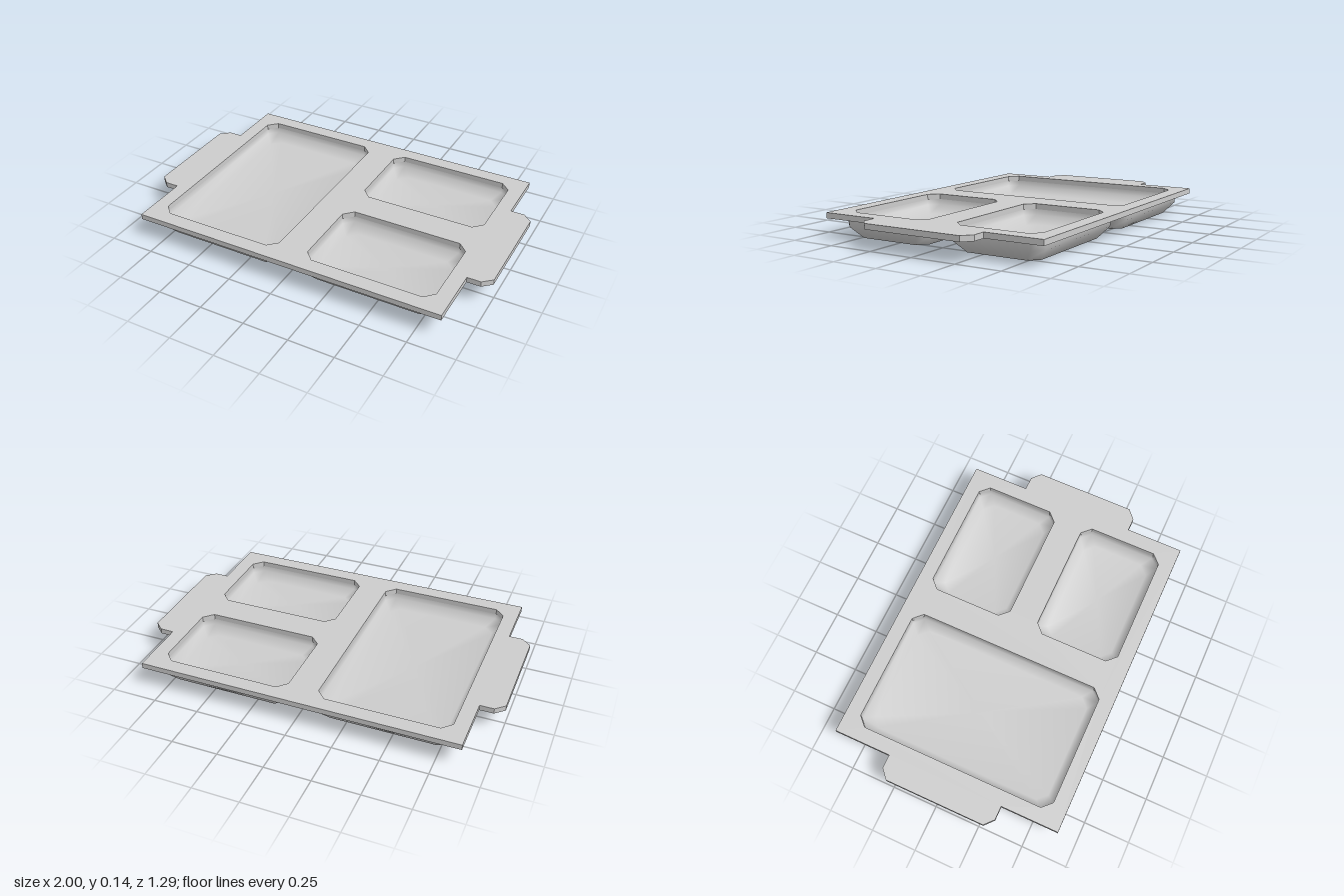
import * as THREE from 'three';

const BASE = 0.105, TOP = 0.135;

// Rectangle with cut corners, counter-clockwise seen from above (second value is -z)
function cutRect(cx, cz, hx, hz, c) {
  return [[hx, -hz + c], [hx, hz - c], [hx - c, hz], [-hx + c, hz],
    [-hx, hz - c], [-hx, -hz + c], [-hx + c, -hz], [hx - c, -hz]]
    .map(([x, y]) => new THREE.Vector2(cx + x, -cz + y));
}

// Smooth wall through [height, outward offset] rings, closed by a flat cap
function shell(well, rings, capFirst) {
  const pos = [], idx = [], n = 8;
  for (const [y, grow] of rings) {
    for (const p of cutRect(well.x, well.z, well.hx + grow, well.hz + grow, 0.05)) pos.push(p.x, y, -p.y);
  }
  const capRing = capFirst ? 0 : rings.length - 1;
  const centre = rings.length * n;
  pos.push(well.x, rings[capRing][0], well.z);
  for (let j = 0; j < n; j++) {
    const k = (j + 1) % n;
    for (let i = 0; i < rings.length - 1; i++) {
      const a = i * n + j, b = i * n + k;
      idx.push(a, b, b + n, a, b + n, a + n);
    }
    const p = capRing * n + j, q = capRing * n + k;
    if (capFirst) idx.push(centre, q, p);
    else idx.push(centre, p, q);
  }
  const geo = new THREE.BufferGeometry();
  geo.setAttribute('position', new THREE.Float32BufferAttribute(pos, 3));
  geo.setIndex(idx);
  geo.computeVertexNormals();
  return geo;
}

export function createModel() {
  const group = new THREE.Group();
  const grey = new THREE.MeshStandardMaterial({ color: 0xcccccc });
  grey.name = 'light grey';

  const wells = [
    { name: 'largeWell', x: -0.44, z: 0, hx: 0.355, hz: 0.563 },
    { name: 'backWell', x: 0.437, z: -0.325, hx: 0.355, hz: 0.24 },
    { name: 'frontWell', x: 0.437, z: 0.322, hx: 0.355, hz: 0.24 },
  ];

  // Flat plate with a handle tab on each end and an opening for each well
  const half = [[0.875, -0.645], [0.875, -0.325], [0.95, -0.325], [1, -0.28],
    [1, 0.28], [0.95, 0.325], [0.875, 0.325], [0.875, 0.645]];
  const outline = [...half, ...half.map(([x, y]) => [-x, -y])];
  const shape = new THREE.Shape(outline.map(([x, y]) => new THREE.Vector2(x, y)));
  for (const w of wells) shape.holes.push(new THREE.Path(cutRect(w.x, w.z, w.hx, w.hz, 0.05)));
  const plateGeo = new THREE.ExtrudeGeometry(shape, { depth: TOP - BASE, bevelEnabled: false });
  plateGeo.rotateX(-Math.PI / 2).translate(0, BASE, 0);
  const plate = new THREE.Mesh(plateGeo, grey);
  plate.name = 'plateWithHandles';
  group.add(plate);

  // Each well has an inner basin and a thicker outer shell
  for (const w of wells) {
    const well = new THREE.Group();
    well.name = w.name;
    const basin = new THREE.Mesh(shell(w, [[BASE, 0], [0.075, -0.003], [0.03, -0.045]], false), grey);
    basin.name = 'innerBasin';
    const outer = new THREE.Mesh(shell(w, [[0, -0.023], [0.06, 0.027], [BASE, 0.031]], true), grey);
    outer.name = 'outerShell';
    well.add(basin, outer);
    group.add(well);
  }
  return group;
}
